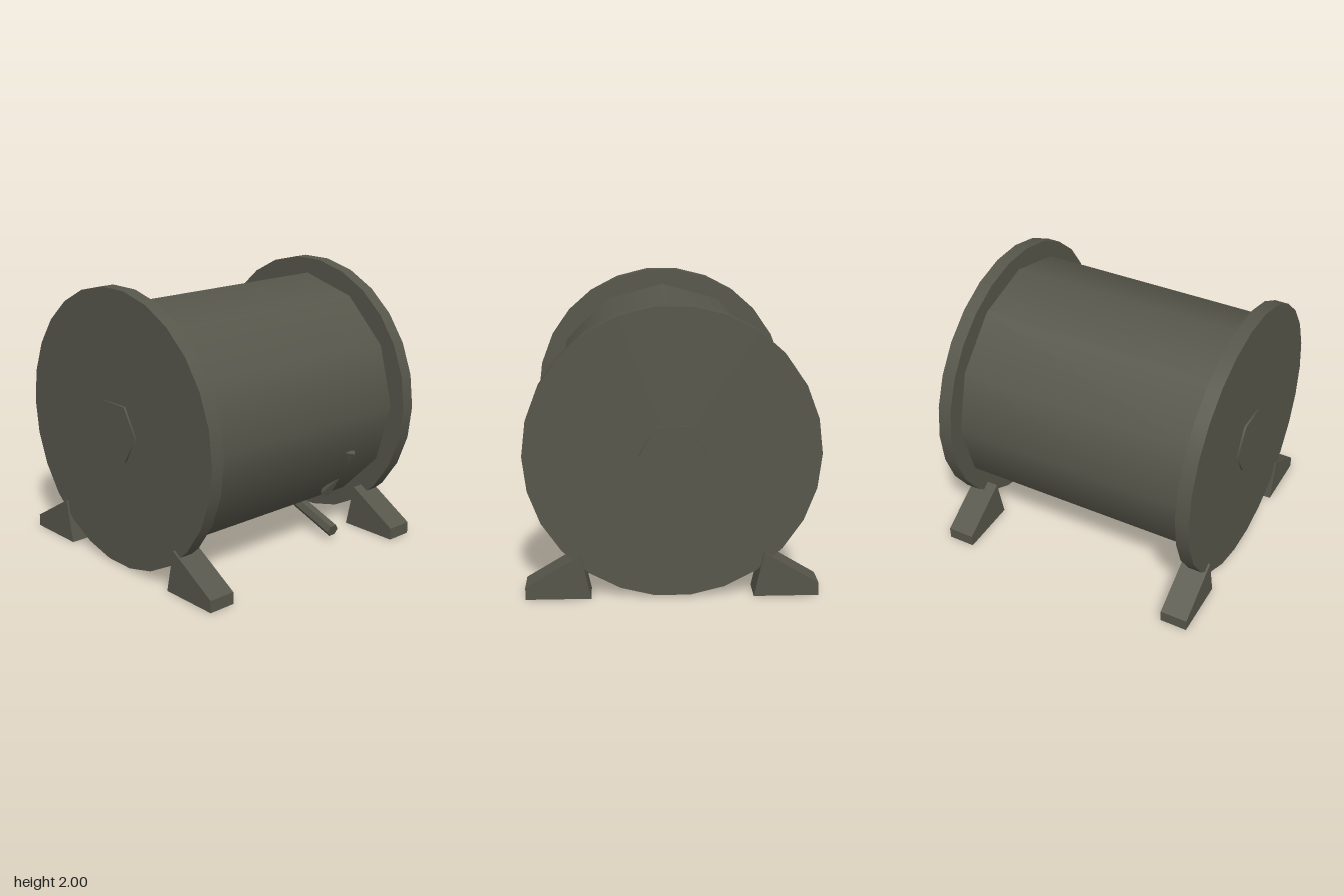
import * as THREE from 'three';

const CENTRE_Y = 1.005;

export function createModel() {
  const model = new THREE.Group();
  model.name = 'drumOnFeet';
  const darkOlive = new THREE.MeshStandardMaterial({ color: 0x57564b });
  darkOlive.name = 'darkOlive';

  const add = (name, geometry) => {
    const mesh = new THREE.Mesh(geometry, darkOlive);
    mesh.name = name;
    model.add(mesh);
    return mesh;
  };

  // Cylinder along z, with a corner on the x axis
  const disc = (name, radius, length, sides, z) => {
    const g = new THREE.CylinderGeometry(radius, radius, length, sides, 1, false, Math.PI / 2);
    g.rotateX(Math.PI / 2);
    add(name, g).position.set(0, CENTRE_Y, z);
  };

  // Faceted taper between two points
  const taper = (name, from, to, r0, r1, sides) => {
    const a = new THREE.Vector3(...from), b = new THREE.Vector3(...to);
    const dir = b.clone().sub(a);
    const g = new THREE.CylinderGeometry(r1, r0, dir.length(), sides).toNonIndexed();
    g.computeVertexNormals();
    const mesh = add(name, g);
    mesh.position.copy(a).add(b).multiplyScalar(0.5);
    mesh.quaternion.setFromUnitVectors(new THREE.Vector3(0, 1, 0), dir.normalize());
  };

  // Barrel with an end plate and hexagonal hub at each end
  disc('barrel', 0.88, 1.78, 12, 0);
  for (const s of [1, -1]) {
    disc('endPlate', 1, 0.1, 26, s * 0.935);
    disc('hub', 0.228, 0.06, 6, s * 0.97);
  }

  // Four wedge feet
  for (const sx of [1, -1]) {
    const outline = [[0.555, 0], [1, 0], [1, 0.087], [0.622, 0.315]];
    const shape = new THREE.Shape(outline.map(([x, y]) => new THREE.Vector2(sx * x, y)));
    const g = new THREE.ExtrudeGeometry(shape, { depth: 0.2, bevelEnabled: false });
    for (const z of [0.8, -1]) add('foot', g).position.z = z;
  }

  // Drain rod under the barrel and two small spikes on its side
  taper('drainRod', [0.2, 0.205, -0.535], [0.7, 0.068, -0.488], 0.05, 0.05, 6);
  taper('upperSpike', [0.815, 0.71, -0.53], [0.8, 0.62, -0.53], 0.045, 0, 4);
  taper('lowerSpike', [0.575, 0.33, -0.53], [0.715, 0.48, -0.53], 0.045, 0, 4);

  return model;
}
